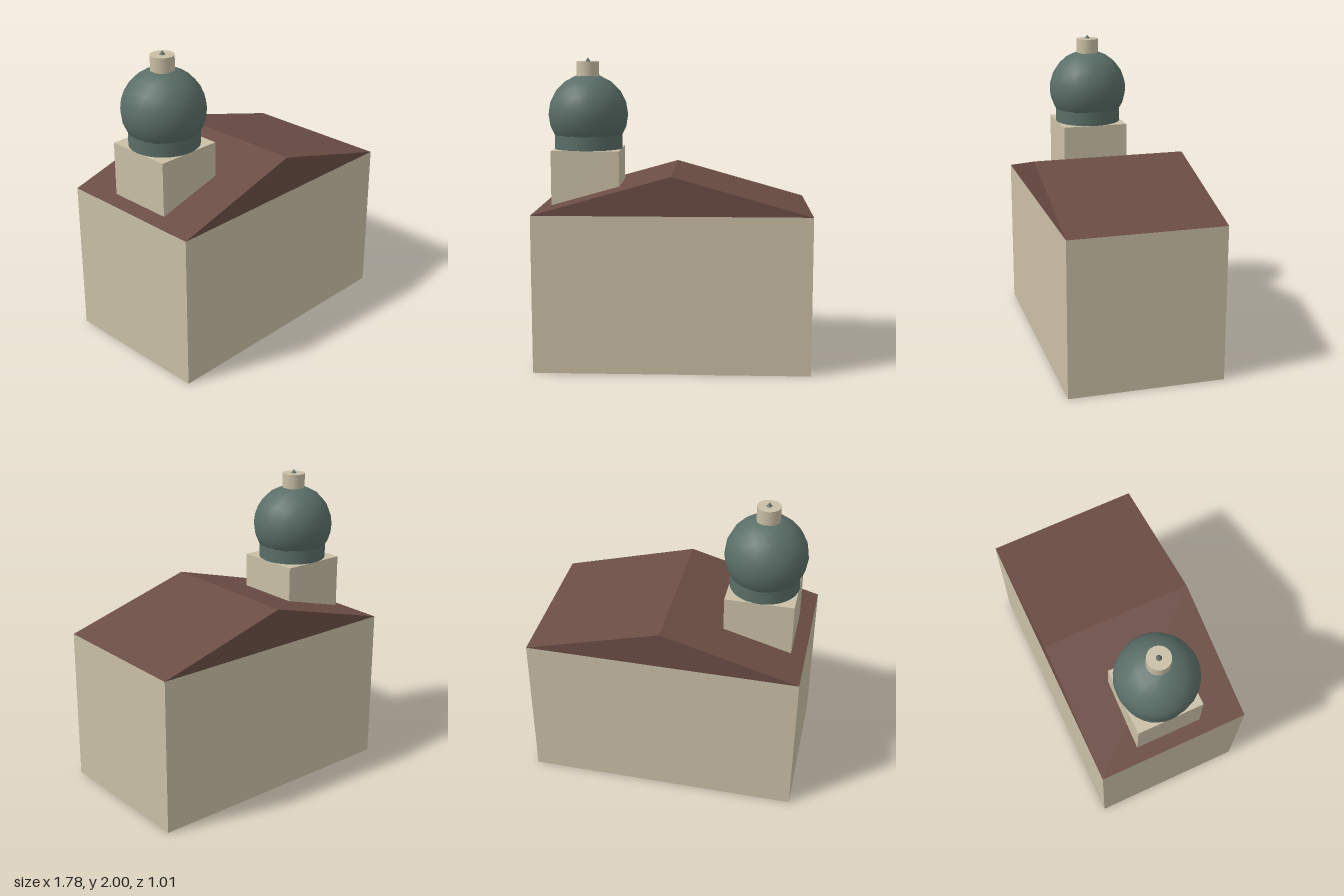
import * as THREE from 'three';

export function createModel() {
  const model = new THREE.Group();
  const paint = (name, color) => {
    const m = new THREE.MeshStandardMaterial({ color });
    m.name = name;
    return m;
  };
  const stone = paint('stone', 0xcabfa6);
  const tile = paint('roofTile', 0x6b4d44);
  const copper = paint('greenCopper', 0x5a6e67);

  const add = (name, geometry, material, x = 0, y = 0, z = 0) => {
    const mesh = new THREE.Mesh(geometry, material);
    mesh.name = name;
    mesh.position.set(x, y, z);
    model.add(mesh);
    return mesh;
  };

  const halfW = 0.888, halfD = 0.507, wallH = 1.02, ridgeY = 1.27;
  const towerX = -0.575;

  // Main hall
  add('walls', new THREE.BoxGeometry(halfW * 2, wallH, halfD * 2), stone, 0, wallH / 2);

  // Gabled roof, flush with the walls
  const gable = new THREE.Shape([
    new THREE.Vector2(-halfW, wallH),
    new THREE.Vector2(halfW, wallH),
    new THREE.Vector2(0, ridgeY),
  ]);
  add('roof', new THREE.ExtrudeGeometry(gable, { depth: halfD * 2, bevelEnabled: false }), tile, 0, 0, -halfD);

  // Square tower base rising through the roof
  add('towerBase', new THREE.BoxGeometry(0.444, 0.37, 0.444), stone, towerX, 1.215);

  // Round drum and globe dome
  add('drum', new THREE.CylinderGeometry(0.225, 0.225, 0.14, 32), copper, towerX, 1.47);
  const globe = new THREE.SphereGeometry(0.265, 20, 12).rotateX(Math.PI / 2);
  add('dome', globe, copper, towerX, 1.628);

  // Lantern and finial
  add('lantern', new THREE.CylinderGeometry(0.075, 0.075, 0.115, 24), stone, towerX, 1.9175);
  add('finial', new THREE.ConeGeometry(0.018, 0.025, 12), copper, towerX, 1.9875);

  return model;
}
